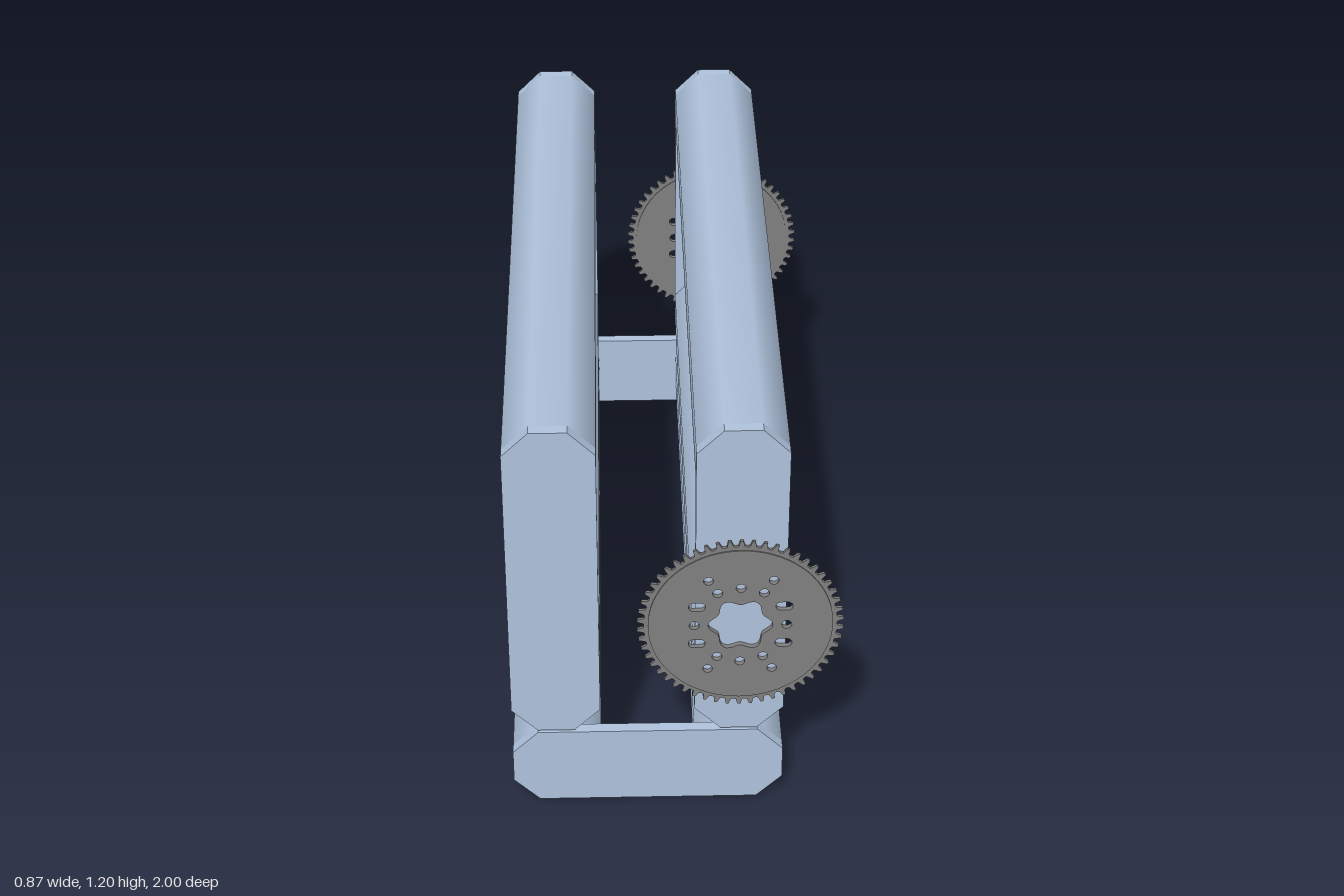
import * as THREE from 'three';

const frameMat = new THREE.MeshStandardMaterial({ color: 0xb0c4de });
const gearMat = new THREE.MeshStandardMaterial({ color: 0x808080 });

const R = 0.118 / Math.cos(Math.PI / 8); // corner radius of the octagonal rollers
const END = 0.985, PLATE = 0.032;        // frame end and plate thickness along z

function addMesh(group, geometry, material, name) {
  const mesh = new THREE.Mesh(geometry, material);
  mesh.name = name;
  group.add(mesh);
  return mesh;
}

// Frame: two long rollers joined at both ends by a plate with octagonal tips
function createFrame(name, length) {
  const frame = new THREE.Group();
  frame.name = name;
  const half = length / 2;
  const outline = [];
  for (let i = 0; i < 8; i++) {
    const a = (i + 0.5) * Math.PI / 4;
    outline.push(new THREE.Vector2(R * Math.cos(a), R * Math.sin(a) + (i < 4 ? half : -half)));
  }
  const plate = new THREE.ExtrudeGeometry(new THREE.Shape(outline), { depth: PLATE, bevelEnabled: false });
  addMesh(frame, plate, frameMat, 'frontPlate').position.z = END - PLATE;
  addMesh(frame, plate, frameMat, 'backPlate').position.z = -END;

  const roller = new THREE.CylinderGeometry(R, R, 2 * (END - PLATE), 8, 1, true);
  roller.rotateY(Math.PI / 8).rotateX(Math.PI / 2);
  for (const s of [-1, 1]) addMesh(frame, roller, frameMat, 'roller').position.y = s * half;
  return frame;
}

// Rounded slot, or a round hole when half = 0
function slot(x, y, r, half = 0) {
  const path = new THREE.Path();
  path.absarc(x + half, y, r, -Math.PI / 2, Math.PI / 2, false);
  path.absarc(x - half, y, r, Math.PI / 2, Math.PI * 1.5, false);
  path.closePath();
  return path;
}

function gearHoles() {
  const holes = [];
  // six-lobed centre opening
  const lobes = [];
  for (let i = 0; i < 72; i++) {
    const a = i / 72 * Math.PI * 2;
    const r = 0.075 + 0.009 * Math.cos(6 * a);
    lobes.push(new THREE.Vector2(r * Math.cos(a), r * Math.sin(a)));
  }
  holes.push(new THREE.Path(lobes));
  // ring of twelve holes, four of them stretched into slots
  for (let i = 0; i < 12; i++) {
    const a = i * Math.PI / 6;
    const long = i % 6 === 1 || i % 6 === 5;
    const x = 0.12 * Math.cos(a), y = 0.12 * Math.sin(a);
    holes.push(long ? slot(x + Math.sign(x) * 0.009, y, 0.013, 0.009) : slot(x, y, 0.013));
  }
  // four outer holes
  for (const sx of [-1, 1]) for (const sy of [-1, 1]) holes.push(slot(sx * 0.084, sy * 0.144, 0.0125));
  return holes;
}

function createGear(name) {
  const gear = new THREE.Group();
  gear.name = name;
  // thin toothed plate
  const teeth = 54, points = [];
  for (let i = 0; i < teeth; i++) {
    for (const [t, r] of [[0, 0.25], [0.22, 0.252], [0.38, 0.268], [0.62, 0.268], [0.78, 0.252]]) {
      const a = (i + t) / teeth * Math.PI * 2;
      points.push(new THREE.Vector2(r * Math.cos(a), r * Math.sin(a)));
    }
  }
  const rim = new THREE.Shape(points);
  rim.holes = gearHoles();
  addMesh(gear, new THREE.ExtrudeGeometry(rim, { depth: 0.008, bevelEnabled: false, curveSegments: 8 }),
    gearMat, 'teeth').position.z = -0.004;
  // slightly thicker body
  const disc = new THREE.Shape().absarc(0, 0, 0.24, 0, Math.PI * 2, false);
  disc.holes = gearHoles();
  addMesh(gear, new THREE.ExtrudeGeometry(disc, { depth: 0.014, bevelEnabled: false, curveSegments: 36 }),
    gearMat, 'gearBody').position.z = -0.007;
  return gear;
}

export function createModel() {
  const model = new THREE.Group();
  model.name = 'rollerFrames';

  // Two upright frames
  for (const [name, x] of [['rightFrame', -0.318], ['leftFrame', 0.168]]) {
    const frame = createFrame(name, 0.724);
    frame.position.set(x, 0.728, 0);
    model.add(frame);
  }

  // Lying base frame
  const base = createFrame('baseFrame', 0.488);
  base.rotation.z = Math.PI / 2;
  base.position.set(-0.074, 0.122, 0);
  model.add(base);

  // Gears on both ends of the left frame
  for (const s of [-1, 1]) {
    const gear = createGear(s > 0 ? 'frontGear' : 'backGear');
    gear.position.set(0.167, 0.608, s * 0.993);
    model.add(gear);
  }
  return model;
}
